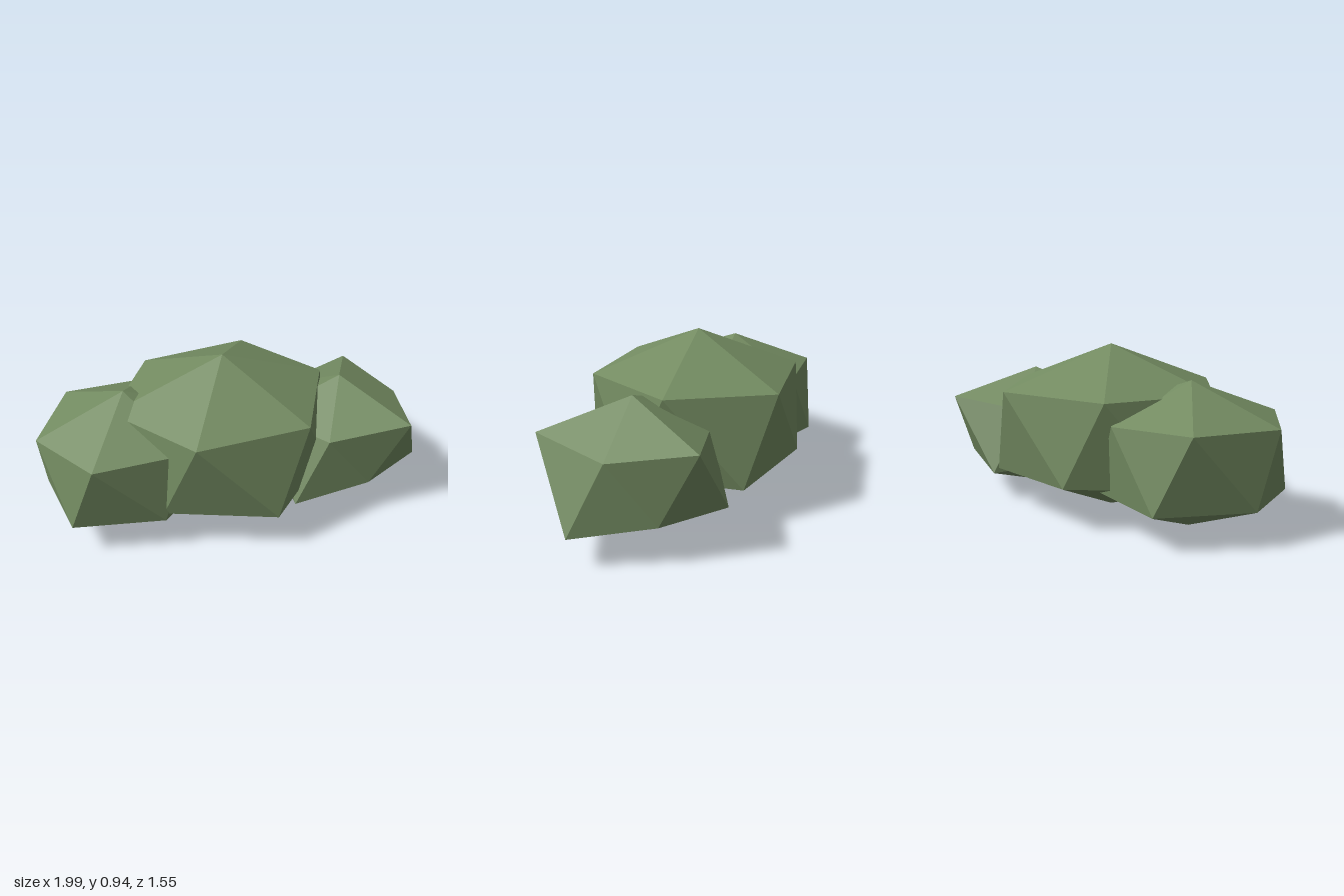
import * as THREE from 'three';

const leafGreen = new THREE.MeshStandardMaterial({ color: 0x738b61 });
leafGreen.name = 'leaf green';

// Faceted clump: two poles joined by twisted six-sided upper and lower rings.
// A ring lists [angle in degrees from +x towards +z, radius, height].
function clumpGeometry(x, z, height, upper, lower) {
  const at = ([deg, r, y]) => {
    const a = THREE.MathUtils.degToRad(deg);
    return [x + r * Math.cos(a), y, z + r * Math.sin(a)];
  };
  const points = [[x, height, z], [x, 0, z], ...upper.map(at), ...lower.map(at)];
  const n = upper.length;
  const index = [];
  for (let i = 0; i < n; i++) {
    const j = (i + 1) % n;
    const u0 = 2 + i, u1 = 2 + j, l0 = 2 + n + i, l1 = 2 + n + j;
    index.push(0, u1, u0); // crown
    index.push(u0, u1, l0, u1, l1, l0); // sides
    index.push(1, l0, l1); // underside
  }
  const indexed = new THREE.BufferGeometry();
  indexed.setAttribute('position', new THREE.Float32BufferAttribute(points.flat(), 3));
  indexed.setIndex(index);
  const geometry = indexed.toNonIndexed(); // flat facets
  geometry.computeVertexNormals();
  return geometry;
}

const clumps = [
  {
    name: 'middleClump', x: 0, z: -0.05, height: 0.94,
    upper: [[19, 0.62, 0.71], [80, 0.6, 0.71], [143, 0.61, 0.71],
      [199, 0.65, 0.71], [258, 0.59, 0.705], [321.5, 0.63, 0.705]],
    lower: [[40, 0.61, 0.245], [101, 0.62, 0.23], [162, 0.61, 0.245],
      [221, 0.62, 0.23], [280, 0.58, 0.245], [341, 0.65, 0.225]],
  },
  {
    name: 'backClump', x: -0.5, z: -0.3, height: 0.79,
    upper: [[21, 0.5, 0.6], [83, 0.49, 0.6], [144, 0.51, 0.6],
      [199, 0.5, 0.59], [259, 0.49, 0.6], [317, 0.47, 0.59]],
    lower: [[40, 0.49, 0.2], [100, 0.46, 0.205], [162, 0.52, 0.195],
      [217, 0.48, 0.2], [281, 0.49, 0.19], [340, 0.49, 0.2]],
  },
  {
    name: 'frontClump', x: 0.59, z: 0.3, height: 0.74,
    upper: [[17.5, 0.4, 0.535], [79, 0.48, 0.585], [143, 0.4, 0.535],
      [199, 0.48, 0.585], [260, 0.4, 0.535], [322, 0.52, 0.585]],
    lower: [[37, 0.51, 0.165], [103, 0.37, 0.21], [160, 0.53, 0.16],
      [222, 0.4, 0.21], [281, 0.49, 0.165], [342, 0.41, 0.21]],
  },
];

export function createModel() {
  const bush = new THREE.Group();
  bush.name = 'bush';
  for (const { name, x, z, height, upper, lower } of clumps) {
    const mesh = new THREE.Mesh(clumpGeometry(x, z, height, upper, lower), leafGreen);
    mesh.name = name;
    bush.add(mesh);
  }
  return bush;
}
